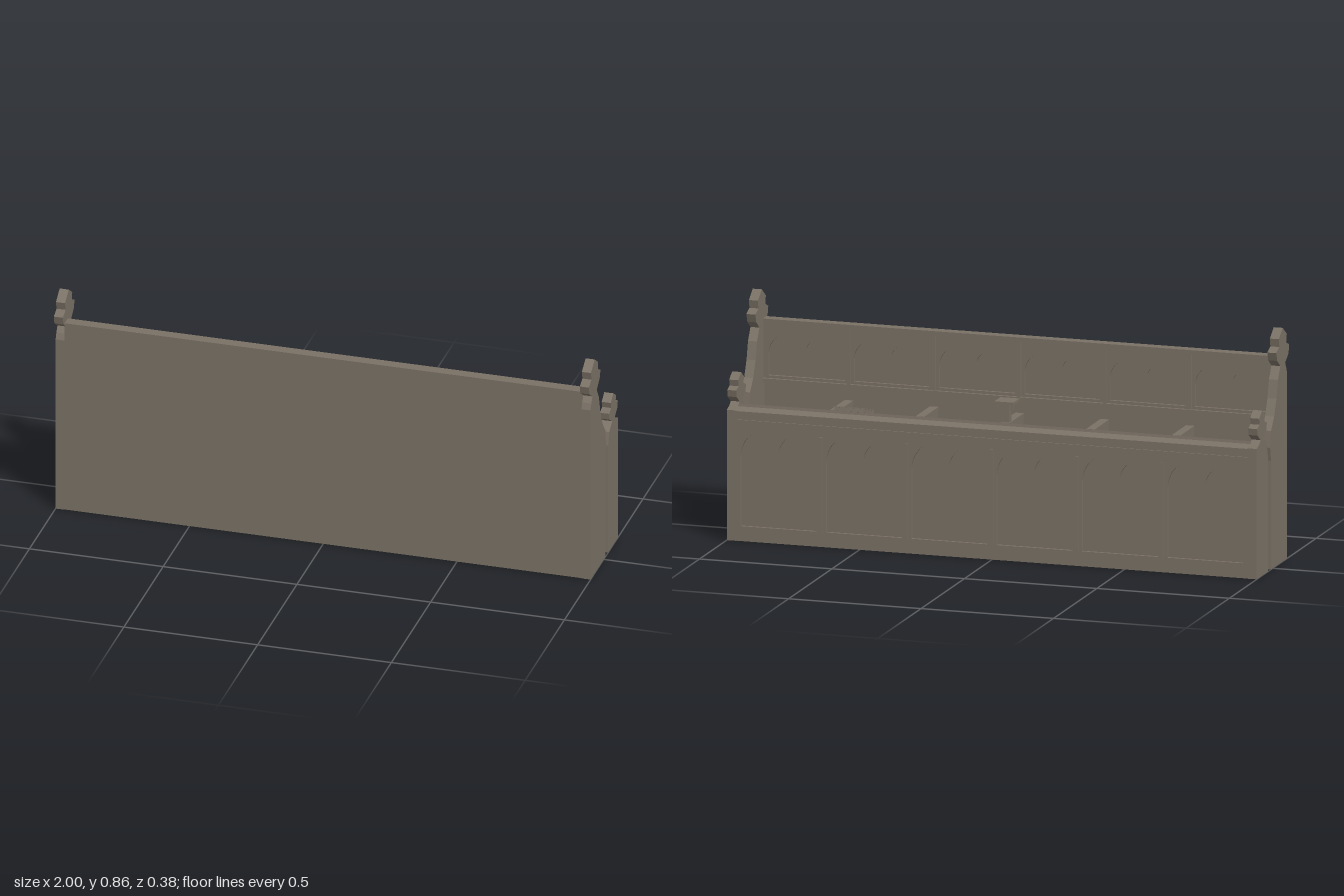
import * as THREE from 'three';

const wood = new THREE.MeshStandardMaterial({ color: 0x7a7165 });
wood.name = 'weathered wood';

function add(parent, name, geometry) {
  const mesh = new THREE.Mesh(geometry, wood);
  mesh.name = name;
  parent.add(mesh);
  return mesh;
}

// Box given by its limits on each axis
function box(parent, name, [x0, x1], [y0, y1], [z0, z1]) {
  const m = add(parent, name, new THREE.BoxGeometry(x1 - x0, y1 - y0, z1 - z0));
  m.position.set((x0 + x1) / 2, (y0 + y1) / 2, (z0 + z1) / 2);
  return m;
}

// Slab cut from a side profile of [z, y] points, centred at x
function slab(parent, name, points, x, width) {
  const shape = new THREE.Shape(points.map(([z, y]) => new THREE.Vector2(z, y)));
  const g = new THREE.ExtrudeGeometry(shape, { depth: width, bevelEnabled: false });
  g.rotateY(-Math.PI / 2);
  const m = add(parent, name, g);
  m.position.x = x + width / 2;
  return m;
}

// Opening with two pointed arches side by side
function twinArch(cx, h, bottom, spring, apex) {
  const p = new THREE.Path();
  const cusp = spring + 0.025, shoulder = spring + (apex - spring) * 0.75;
  p.moveTo(cx - h, bottom);
  p.lineTo(cx + h, bottom);
  p.lineTo(cx + h, spring);
  p.quadraticCurveTo(cx + h * 0.97, shoulder, cx + h / 2, apex);
  p.quadraticCurveTo(cx + h * 0.05, shoulder, cx, cusp);
  p.quadraticCurveTo(cx - h * 0.05, shoulder, cx - h / 2, apex);
  p.quadraticCurveTo(cx - h * 0.97, shoulder, cx - h, spring);
  p.closePath();
  return p;
}

const inner = [-0.966, 0.966];
const bay = 1.932 / 6;

// Pierced board with six twin-arch bays
function arcade(parent, name, y0, y1, z0, z1, bottom, spring, apex) {
  const s = new THREE.Shape([[-0.966, y0], [0.966, y0], [0.966, y1], [-0.966, y1]]
    .map(([x, y]) => new THREE.Vector2(x, y)));
  for (let i = 0; i < 6; i++) {
    s.holes.push(twinArch((i - 2.5) * bay, 0.143, bottom, spring, apex));
  }
  const g = new THREE.ExtrudeGeometry(s, { depth: z1 - z0, bevelEnabled: false, curveSegments: 8 });
  add(parent, name, g).position.z = z0;
}

const tallEnd = [
  [-0.02, 0], [0.167, 0], [0.167, 0.68], [0.157, 0.703], [0.143, 0.725],
  [0.182, 0.752], [0.19, 0.783], [0.155, 0.798], [0.162, 0.828], [0.115, 0.86],
  [0.07, 0.828], [0.076, 0.798], [0.04, 0.783], [0.052, 0.752], [0.088, 0.725],
  [0.06, 0.68], [0.043, 0.615], [0.016, 0.555], [-0.02, 0.51], [-0.03, 0.45], [-0.02, 0.4],
];
const shortEnd = [
  [-0.185, 0], [-0.057, 0], [-0.057, 0.43], [-0.07, 0.478], [-0.108, 0.503],
  [-0.072, 0.527], [-0.068, 0.552], [-0.096, 0.562], [-0.09, 0.585], [-0.123, 0.608],
  [-0.157, 0.585], [-0.152, 0.562], [-0.18, 0.552], [-0.175, 0.527], [-0.14, 0.503],
  [-0.155, 0.49], [-0.185, 0.48],
];
const divider = [
  [0.148, 0.01], [0.148, 0.455], [-0.02, 0.455], [-0.028, 0.44], [-0.026, 0.415],
  [-0.012, 0.4], [0.01, 0.385], [0.025, 0.345], [0.025, 0.3], [0.005, 0.26],
  [-0.015, 0.235], [-0.015, 0.01],
];

export function createModel() {
  const model = new THREE.Group();
  model.name = 'choirStall';

  // Ends with trefoil finials
  for (const side of [-1, 1]) {
    slab(model, 'tallEnd', tallEnd, side * 0.983, 0.034);
    slab(model, 'shortEnd', shortEnd, side * 0.983, 0.034);
  }
  box(model, 'floor', inner, [0, 0.004], [-0.183, 0.165]);

  // Seat back with arcaded upper panelling
  const back = new THREE.Group();
  back.name = 'seatBack';
  model.add(back);
  box(back, 'backBoard', inner, [0.004, 0.74], [0.148, 0.167]);
  arcade(back, 'backArcade', 0.515, 0.74, 0.137, 0.148, 0.54, 0.625, 0.7);
  box(back, 'topRail', inner, [0.735, 0.75], [0.126, 0.167]);
  box(back, 'backLedge', inner, [0.515, 0.53], [0.126, 0.148]);

  // Seats, riser, dividers and arm rests
  const seats = new THREE.Group();
  seats.name = 'seats';
  model.add(seats);
  box(seats, 'seatBoard', inner, [0.215, 0.235], [-0.026, 0.148]);
  box(seats, 'seatRiser', inner, [0.004, 0.215], [0.03, 0.045]);
  for (let i = -2; i <= 2; i++) {
    const x = i * bay;
    slab(seats, 'divider', divider, x, 0.02);
    box(seats, 'armRest', [x - 0.016, x + 0.016], [0.455, 0.47], [-0.03, 0.137]);
  }
  for (let i = -2; i <= 2; i++) {
    const x = i * bay;
    box(back, 'backPilaster', [x - 0.006, x + 0.006], [0.53, 0.735], [0.129, 0.137]);
  }

  // Arcaded desk front
  const desk = new THREE.Group();
  desk.name = 'desk';
  model.add(desk);
  box(desk, 'frontBoard', inner, [0.004, 0.465], [-0.172, -0.155]);
  arcade(desk, 'frontArcade', 0.002, 0.465, -0.183, -0.172, 0.055, 0.315, 0.41);
  for (let i = -2; i <= 2; i++) {
    const x = i * bay;
    box(desk, 'frontPilaster', [x - 0.006, x + 0.006], [0.05, 0.405], [-0.189, -0.183]);
  }
  box(desk, 'frontMoulding', inner, [0.437, 0.447], [-0.188, -0.183]);

  // Sloping book rest with its back cap
  slab(desk, 'deskCap', [[-0.19, 0.46], [-0.15, 0.46], [-0.15, 0.492], [-0.19, 0.479]], 0, 1.932);
  slab(desk, 'deskTop', [[-0.158, 0.486], [-0.066, 0.461], [-0.062, 0.474], [-0.155, 0.5]], 0, 1.932);

  // Closed book lying on the slope
  const book = new THREE.Group();
  book.name = 'deskBook';
  box(book, 'lowerCover', [-0.06, 0.06], [0, 0.003], [-0.045, 0.045]);
  box(book, 'pages', [-0.056, 0.056], [0.003, 0.013], [-0.042, 0.045]);
  box(book, 'upperCover', [-0.06, 0.06], [0.013, 0.016], [-0.045, 0.045]);
  box(book, 'spine', [-0.06, 0.06], [0, 0.016], [0.045, 0.048]);
  book.position.set(0.545, 0.489, -0.118);
  book.rotation.set(0.27, -0.1, 0);
  desk.add(book);

  // Small stand on the middle arm rest
  const stand = new THREE.Group();
  stand.name = 'armStand';
  model.add(stand);
  box(stand, 'standTop', [-0.036, 0.036], [0.539, 0.55], [-0.045, 0.026]);
  box(stand, 'standPost', [-0.012, 0.012], [0.47, 0.539], [-0.022, 0.008]);
  for (const x of [-0.03, 0.03]) {
    box(stand, 'standBracket', [x - 0.005, x + 0.005], [0.522, 0.539], [-0.044, -0.036]);
  }
  return model;
}
